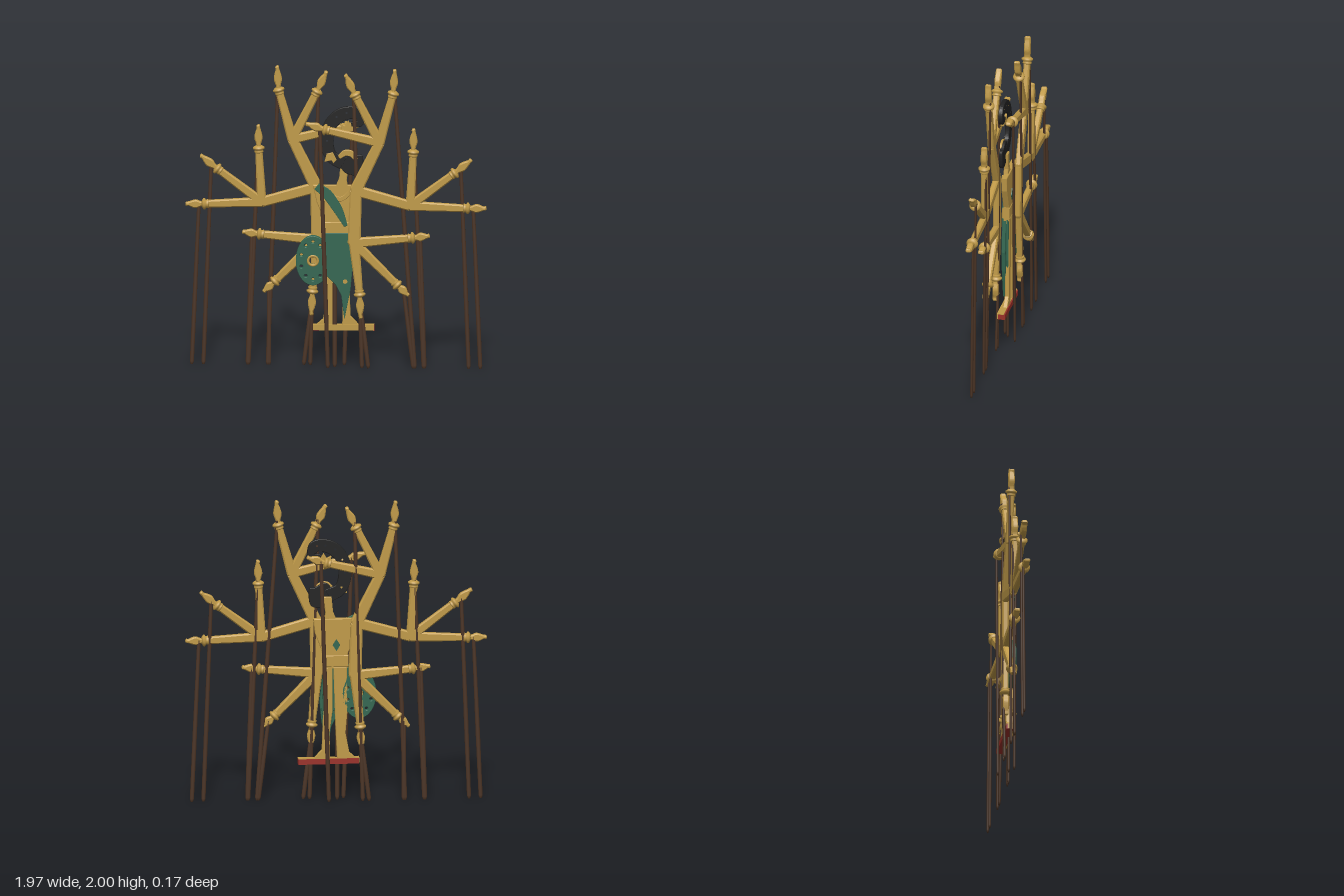
import * as THREE from 'three';

const mat = (name, color) => Object.assign(new THREE.MeshStandardMaterial({ color }), { name });
const gold = mat('gold', 0xc09a48);
const green = mat('green', 0x326650);
const brown = mat('dark wood', 0x4a3324);
const black = mat('black', 0x212121);
const red = mat('red', 0x9a3028);

const V = (p) => new THREE.Vector2(p[0], p[1]);
const poly = (pts) => new THREE.Shape(pts.map(V));
const hole = (x, y, r) => new THREE.Path().absellipse(x, y, r, r, 0, Math.PI * 2, true);
const curved = (pts) => new THREE.Shape(new THREE.SplineCurve(pts.map(V)).getPoints(40));

// Bevelled flat plate between z0 and z1
function plate(name, shape, z0, z1, material, bevel = 0.004) {
  const geo = new THREE.ExtrudeGeometry(shape, {
    depth: z1 - z0 - 2 * bevel, bevelEnabled: bevel > 0, bevelThickness: bevel,
    bevelSize: bevel, bevelOffset: -bevel, bevelSegments: 1, curveSegments: 20,
  });
  geo.translate(0, 0, z0 + bevel);
  const mesh = new THREE.Mesh(geo, material);
  mesh.name = name;
  return mesh;
}

// Closed outline of a band swept along a curve, with a width at each point (x, y, width)
function band(pts, steps = 40) {
  const curve = new THREE.CatmullRomCurve3(pts.map((p) => new THREE.Vector3(...p)));
  const a = [], b = [];
  for (let i = 0; i <= steps; i++) {
    const p = curve.getPoint(i / steps), t = curve.getTangent(i / steps);
    const l = Math.hypot(t.x, t.y) || 1, w = p.z / 2;
    a.push([p.x - (t.y / l) * w, p.y + (t.x / l) * w]);
    b.unshift([p.x + (t.y / l) * w, p.y - (t.x / l) * w]);
  }
  return poly([...a, ...b]);
}

// Straight tapered limb; its local y runs from a to b
function limb(name, a, b, wa, wb, z, tip) {
  const g = new THREE.Group();
  g.name = name;
  const len = Math.hypot(b[0] - a[0], b[1] - a[1]);
  g.position.set(a[0], a[1], z);
  g.rotation.z = Math.atan2(b[1] - a[1], b[0] - a[0]) - Math.PI / 2;
  const r = wa / 2, e = wb / 2;
  g.add(plate('limb', poly([[-r * 0.6, -r * 0.7], [r * 0.6, -r * 0.7], [r, 0], [e, len], [-e, len], [-r, 0]]),
    -0.02, 0.02, gold, 0.008));
  if (!tip) return g;
  // Bracelets at the wrist
  const rings = new THREE.Mesh(new THREE.LatheGeometry([
    [0, -0.03], [0.028, -0.03], [0.031, -0.024], [0.028, -0.018], [0.028, -0.01], [0.038, -0.005],
    [0.038, 0.005], [0.028, 0.012], [0.018, 0.018], [0, 0.018]].map(V), 20), gold);
  rings.name = 'bracelets';
  rings.position.y = len;
  // Pointed hand with folded fingers
  const L = Math.hypot(tip[0] - b[0], tip[1] - b[1]);
  const hand = plate('hand', curved([[-0.013, 0], [-0.016, L * 0.2], [-0.027, L * 0.45], [-0.02, L * 0.68],
    [-0.011, L * 0.84], [-0.012, L * 0.97], [0.008, L], [0.013, L * 0.84], [0.022, L * 0.62], [0.026, L * 0.42],
    [0.016, L * 0.2], [0.013, 0]]), -0.02, 0.02, gold, 0.007);
  hand.position.y = len;
  hand.rotation.z = Math.atan2(tip[1] - b[1], tip[0] - b[0]) - Math.PI / 2 - g.rotation.z;
  g.add(rings, hand);
  return g;
}

// Control rod, slightly flattened, tapering at its foot
function rod(a, b, z) {
  const len = Math.hypot(b[0] - a[0], b[1] - a[1]);
  const geo = new THREE.LatheGeometry([[0, 0], [0.008, 0], [0.014, 0.02], [0.015, len * 0.4], [0.012, len], [0, len]].map(V), 10);
  const m = new THREE.Mesh(geo, brown);
  m.name = 'controlRod';
  m.position.set(b[0], b[1], z);
  m.rotation.z = Math.atan2(a[1] - b[1], a[0] - b[0]) - Math.PI / 2;
  m.scale.z = 0.62;
  return m;
}

// Branching arms of one side; s = 1 for the left (front layer), -1 for the right (back layer)
function armTree(s) {
  const g = new THREE.Group();
  g.name = s > 0 ? 'leftArms' : 'rightArms';
  const z = s > 0 ? 0.046 : -0.044;
  const m = (p) => [s * p[0], p[1]];
  const shoulder = [0.13, 1.19], fork = [0.285, 1.51], elbow = [0.485, 1.09], hip = [0.12, 0.84];
  [[hip, shoulder, 0.085, 0.078], [shoulder, fork, 0.082, 0.065], [shoulder, elbow, 0.07, 0.066]]
    .forEach(([a, b, wa, wb]) => g.add(limb('upperArm', m(a), m(b), wa, wb, z)));
  // start, wrist, fingertip, start width
  [[fork, [0.375, 1.84], [0.385, 2.0], 0.065],
    [fork, [0.125, 1.83], [0.062, 1.965], 0.062],
    [fork, [-0.07, 1.595], [-0.195, 1.635], 0.062],
    [elbow, [0.505, 1.45], [0.508, 1.605], 0.06],
    [elbow, [0.775, 1.31], [0.885, 1.4], 0.06],
    [elbow, [0.86, 1.075], [0.982, 1.075], 0.062],
    [hip, [0.5, 0.875], [0.612, 0.89], 0.066],
    [hip, [0.4, 0.56], [0.475, 0.49], 0.066],
    [hip, [0.155, 0.495], [0.162, 0.335], 0.07]]
    .forEach(([a, b, t, w]) => g.add(limb('forearm', m(a), m(b), w, 0.046, z, m(t))));
  // Rod from each hand to the floor
  const low = s > 0 ? 0.515 : 0.447;
  [[[0.38, 1.87], [low, 0]], [[0.115, 1.87], [0.17, 0]], [[-0.105, 1.61], [-0.052, 0]],
    [[0.508, 1.47], [0.572, 0]], [[0.815, 1.34], [0.866, 0]], [[0.895, 1.08], [0.942, 0]],
    [[0.55, 0.885], [0.578, 0]], [[0.44, 0.53], [low - 0.01, 0]], [[0.16, 0.42], [0.212, 0]]]
    .forEach(([a, b]) => g.add(rod(m(a), m([b[0], 0]), z - 0.013)));
  return g;
}

export function createModel() {
  const model = new THREE.Group();
  model.name = 'puppet';
  model.add(armTree(1), armTree(-1));

  // Torso, neck and belt
  model.add(plate('torso', poly([[-0.15, 1.215], [0.15, 1.215], [0.14, 1.12], [0.085, 0.98], [0.085, 0.88],
    [-0.075, 0.88], [-0.075, 0.98], [-0.125, 1.1]]), -0.024, 0.014, gold));
  model.add(plate('neck', poly([[-0.01, 1.19], [0.08, 1.19], [0.07, 1.25], [0.085, 1.36], [0.03, 1.36], [0.02, 1.26]]), -0.016, 0.014, gold));
  model.add(plate('necklace', band([[-0.08, 1.21, 0.02], [-0.03, 1.15, 0.025], [0.03, 1.125, 0.03], [0.08, 1.16, 0.025], [0.1, 1.21, 0.02]]), 0.012, 0.02, gold, 0.002));
  model.add(plate('belt', poly([[-0.08, 0.97], [0.085, 0.97], [0.085, 0.895], [-0.08, 0.895]]), -0.028, 0.022, gold));
  model.add(plate('sash', band([[-0.125, 1.21, 0.05], [-0.06, 1.16, 0.065], [0.01, 1.06, 0.06], [0.065, 0.945, 0.025]]), 0.012, 0.024, green, 0.002));
  const diamond = plate('backDiamond', poly([[0, 1.08], [0.025, 1.04], [0, 1.0], [-0.025, 1.04]]), -0.029, -0.023, green, 0);
  model.add(diamond);

  // Skirt with a pointed end
  const skirt = poly([[-0.09, 0.9], [0.08, 0.9], [0.108, 0.66], [0.095, 0.52], [0.055, 0.32], [0.035, 0.48], [0.0, 0.55], [-0.06, 0.61]]);
  skirt.holes.push(hole(0.06, 0.575, 0.018));
  model.add(plate('skirt', skirt, -0.004, 0.022, green, 0.003));
  model.add(plate('rearSkirt', poly([[-0.085, 0.89], [0.085, 0.89], [0.095, 0.6], [0.055, 0.34], [0.02, 0.6], [-0.06, 0.62]]), -0.022, -0.006, green, 0.003));

  // Legs and feet
  model.add(plate('rightLeg', poly([[-0.07, 0.89], [0.02, 0.89], [0.01, 0.6], [-0.005, 0.28], [-0.13, 0.28], [-0.085, 0.32], [-0.06, 0.45], [-0.075, 0.62]]), -0.026, 0.004, gold));
  model.add(plate('leftLeg', poly([[0.025, 0.89], [0.075, 0.89], [0.085, 0.6], [0.095, 0.34], [0.15, 0.28], [0.04, 0.28], [0.045, 0.45], [0.025, 0.6]]), -0.026, 0.002, gold));

  // Foot bar: gold in front and on top, red behind and below
  const box = (name, x0, x1, y0, y1, z0, z1, material) => {
    const b = new THREE.Mesh(new THREE.BoxGeometry(x1 - x0, y1 - y0, z1 - z0), material);
    b.name = name;
    b.position.set((x0 + x1) / 2, (y0 + y1) / 2, (z0 + z1) / 2);
    model.add(b);
  };
  box('footBar', -0.15, 0.249, 0.248, 0.284, -0.026, 0.02, gold);
  box('footBarBack', -0.148, 0.25, 0.245, 0.28, -0.034, 0.012, red);

  // Pierced round ornament with a rosette
  const disc = new THREE.Shape().absellipse(-0.15, 0.71, 0.112, 0.165, 0, Math.PI * 2);
  disc.holes.push(hole(-0.15, 0.71, 0.028));
  for (let i = 0; i < 10; i++) {
    const a = (i + 0.5) * Math.PI / 5;
    disc.holes.push(hole(-0.15 + 0.08 * Math.cos(a), 0.71 + 0.125 * Math.sin(a), 0.011));
  }
  model.add(plate('roundOrnament', disc, -0.026, 0.012, green, 0.003));
  const rosette = new THREE.Mesh(new THREE.TorusGeometry(0.032, 0.009, 8, 24), gold);
  rosette.name = 'rosette';
  rosette.position.set(-0.15, 0.71, 0.008);
  model.add(rosette);

  // Curled hair with pierced dots, and the knot below it
  const hair = band([[0.1, 1.625, 0.03], [0.155, 1.635, 0.05], [0.14, 1.695, 0.075], [0.05, 1.695, 0.085], [-0.03, 1.63, 0.085],
    [-0.06, 1.52, 0.085], [-0.03, 1.41, 0.08], [0.05, 1.365, 0.09]], 60);
  [[0.125, 1.7], [0.07, 1.703], [0.005, 1.675], [-0.04, 1.605], [-0.058, 1.515], [-0.035, 1.42]]
    .forEach(([x, y]) => hair.holes.push(hole(x, y, 0.01)));
  model.add(plate('hair', hair, -0.004, 0.024, black, 0.003));
  model.add(plate('hairKnot', curved([[0.01, 1.36], [0.04, 1.43], [0.08, 1.45], [0.14, 1.42], [0.175, 1.41], [0.17, 1.31], [0.12, 1.285], [0.06, 1.3]]), -0.002, 0.023, black, 0.003));

  // Fine carved face and crown pieces
  model.add(plate('face', poly([[-0.075, 1.375], [-0.06, 1.43], [-0.02, 1.44], [0.005, 1.39], [-0.015, 1.365], [-0.03, 1.385]]), 0.015, 0.03, gold, 0.003));
  model.add(plate('earring', band([[0.02, 1.405, 0.025], [0.06, 1.435, 0.04], [0.1, 1.43, 0.04], [0.135, 1.39, 0.025]]), 0.015, 0.03, gold, 0.003));
  model.add(plate('crown', poly([[0.035, 1.58], [0.03, 1.63], [0.06, 1.615], [0.08, 1.65], [0.1, 1.615], [0.12, 1.63], [0.12, 1.58]]), 0.0, 0.022, gold, 0.003));

  // Central body rod
  model.add(rod([-0.008, 0.85], [-0.008, 0], 0.004));
  return model;
}
